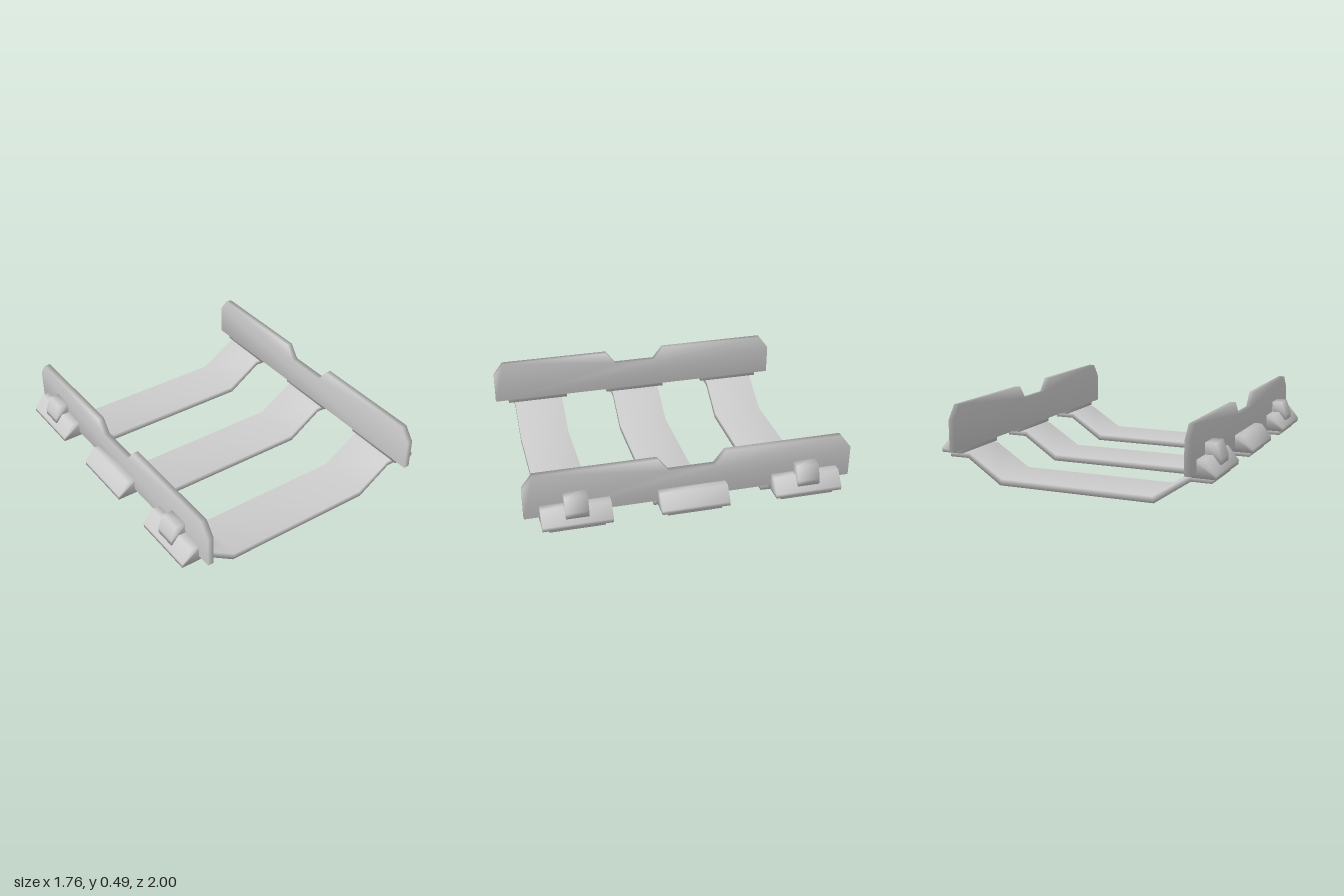
import * as THREE from 'three';
import { mergeVertices } from 'three/addons/utils/BufferGeometryUtils.js';

const material = new THREE.MeshStandardMaterial({ color: 0xcccccc });

// Extrudes a profile centred along z, with normals smoothed over shared corners
function prism(points, depth) {
  const shape = new THREE.Shape(points.map(([x, y]) => new THREE.Vector2(x, y)));
  let geo = new THREE.ExtrudeGeometry(shape, { depth, bevelEnabled: false });
  geo.translate(0, 0, -depth / 2);
  geo.deleteAttribute('normal');
  geo.deleteAttribute('uv');
  geo = mergeVertices(geo);
  geo.computeVertexNormals();
  return geo;
}

function addPart(parent, name, geo, x = 0, z = 0) {
  const mesh = new THREE.Mesh(geo, material);
  mesh.name = name;
  mesh.position.set(x, 0, z);
  parent.add(mesh);
}

const mirrorX = (points, side) => points.map(([x, y]) => [x * side, y]);

export function createModel() {
  const model = new THREE.Group();
  model.name = 'rackFrame';

  // Side rail outline: clipped upper ends and a notch in the middle
  const railTop = [[1, 0.21], [1, 0.405], [0.935, 0.49], [0.205, 0.49], [0.14, 0.405]];
  const railOutline = [...railTop, ...mirrorX(railTop, -1).reverse()];

  // Cranked crossbar: flat centre, sloping arms, flat feet
  const barTop = [[0.845, 0.182], [0.71, 0.182], [0.49, 0.04]];
  const barBottom = [[0.5, 0], [0.72, 0.149], [0.845, 0.149]];
  const barHalf = [...barBottom, ...barTop];
  const barOutline = [
    ...barHalf,
    ...mirrorX(barHalf, -1).reverse(),
  ];

  // Bracket and clamp sections on the outside of each rail
  const bracketOutline = [[0.74, 0.183], [0.88, 0.183], [0.88, 0.207], [0.815, 0.287], [0.74, 0.287]];
  const clampOutline = [[0.75, 0.235], [0.862, 0.235], [0.862, 0.27], [0.83, 0.355], [0.75, 0.355]];

  const stations = [-0.703, 0, 0.703];
  for (const z of stations) {
    addPart(model, 'crossbar', prism(barOutline, 0.332), 0, z);
  }

  for (const side of [-1, 1]) {
    const label = side > 0 ? 'left' : 'right';
    const rail = prism(railOutline, 0.038);
    rail.rotateY(-Math.PI / 2);
    addPart(model, label + 'Rail', rail, side * 0.747);

    for (const z of stations) {
      addPart(model, label + 'Bracket', prism(mirrorX(bracketOutline, side), 0.414), 0, z);
      // Clamps sit on the end brackets only
      if (z !== 0) addPart(model, label + 'Clamp', prism(mirrorX(clampOutline, side), 0.136), 0, z);
    }
  }
  return model;
}
